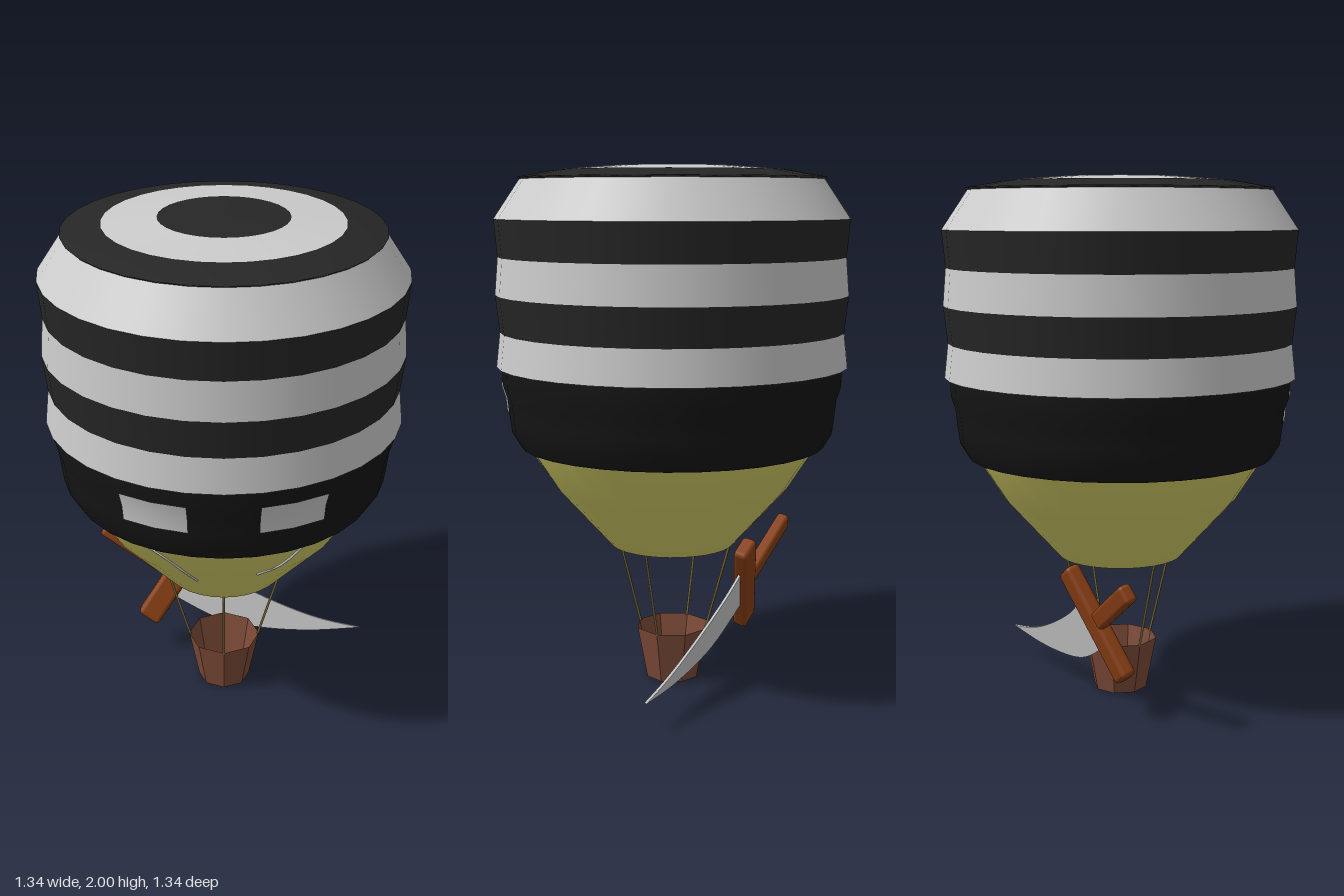
import * as THREE from 'three';
import { RoundedBoxGeometry } from 'three/addons/geometries/RoundedBoxGeometry.js';

const SIDES = 32;
const mat = (color, extra = {}) => new THREE.MeshStandardMaterial({ color, ...extra });
const both = { side: THREE.DoubleSide };
const grey = mat(0xcccccc, both);
const black = mat(0x262626, both);
const cloth = mat(0x151515, both);
const yellow = mat(0xd6d068, both);
const wicker = mat(0x7d4b38, { ...both, flatShading: true });
const rope = mat(0x7d6a3a);
const wood = mat(0x8a4015);

const v3 = (x, y, z) => new THREE.Vector3(x, y, z);

function add(parent, name, geometry, material) {
  const mesh = new THREE.Mesh(geometry, material);
  mesh.name = name;
  parent.add(mesh);
  return mesh;
}

// Profile points are [radius, height], from bottom to top
function lathe(points, start = 0, length = Math.PI * 2, sides = SIDES) {
  return new THREE.LatheGeometry(points.map(([r, y]) => new THREE.Vector2(r, y)), sides, start, length);
}

// Radius of the lower cone at height y
function coneRadius(y) {
  return y > 0.78 ? 0.45 + (y - 0.78) * 0.636 : 0.24 + (y - 0.545) * 0.894;
}

function buildEnvelope() {
  const g = new THREE.Group();
  g.name = 'envelope';
  add(g, 'lowerCone', lathe([[0.24, 0.545], [0.45, 0.78], [0.555, 0.945]]), yellow);

  // Dark wrap with the eye holes
  add(g, 'mask', lathe([[0.585, 0.945], [0.617, 1.0], [0.626, 1.07], [0.632, 1.13], [0.648, 1.18], [0.65, 1.25]]), cloth);
  add(g, 'maskUnderside', lathe([[0.55, 0.9451], [0.585, 0.945]]), cloth);
  const step = Math.PI * 2 / SIDES;
  for (const [name, start] of [['leftEye', step], ['rightEye', -3 * step]]) {
    add(g, name, lathe([[0.632, 1.07], [0.638, 1.13], [0.654, 1.185]], start, 2 * step, 2), grey);
  }

  // Stripes of the upper balloon
  const rings = [[0.67, 1.25], [0.655, 1.38], [0.67, 1.52], [0.658, 1.66], [0.67, 1.8], [0.572, 1.945]];
  for (let i = 0; i < rings.length - 1; i++) {
    add(g, 'stripe' + (i + 1), lathe([rings[i], rings[i + 1]]), i % 2 ? black : grey);
  }
  add(g, 'stripeUnderside', lathe([[0.64, 1.2501], [0.67, 1.25]]), black);

  // Target-shaped crown
  add(g, 'crownOuterRing', lathe([[0.572, 1.945], [0.58, 1.953], [0.435, 1.979]]), black);
  add(g, 'crownMiddleRing', lathe([[0.435, 1.979], [0.237, 1.995]]), grey);
  add(g, 'crownCentre', lathe([[0.237, 1.995], [0, 2]]), black);

  // Thin curved lines lying on the cone
  const lines = {
    rightWhisker: [[-0.31, 0.945], [-0.21, 0.865], [-0.145, 0.79], [-0.1, 0.72]],
    leftWhisker: [[0.3, 0.945], [0.255, 0.87], [0.2, 0.81], [0.12, 0.78]],
  };
  for (const [name, pts] of Object.entries(lines)) {
    const curve = new THREE.CatmullRomCurve3(pts.map(([x, y]) =>
      v3(x, y, Math.sqrt(coneRadius(y) ** 2 - x * x))));
    add(g, name, new THREE.TubeGeometry(curve, 16, 0.005, 6), grey);
  }
  return g;
}

function buildBasket() {
  const g = new THREE.Group();
  g.name = 'basket';
  add(g, 'basketWall', new THREE.CylinderGeometry(0.145, 0.105, 0.205, 8, 1, true).translate(0, 0.1025, 0), wicker);
  add(g, 'basketFloor', new THREE.CircleGeometry(0.105, 8).rotateX(Math.PI / 2).translate(0, 0.001, 0), wicker);
  for (let i = 0; i < 4; i++) {
    const a = i * Math.PI / 2, s = Math.sin(a), c = Math.cos(a);
    const line = new THREE.LineCurve3(v3(s * 0.14, 0.2, c * 0.14), v3(s * 0.24, 0.55, c * 0.24));
    add(g, 'rope' + (i + 1), new THREE.TubeGeometry(line, 1, 0.005, 6), rope);
  }
  return g;
}

// Curved sword leaning against the back of the basket
function buildSword() {
  const g = new THREE.Group();
  g.name = 'sword';
  const angle = -0.585;

  const guard = add(g, 'swordGuard', new RoundedBoxGeometry(0.1, 0.455, 0.06, 2, 0.018), wood);
  guard.position.set(-0.2, 0, 0);
  guard.rotation.z = angle;

  const handle = add(g, 'swordHandle', new RoundedBoxGeometry(0.36, 0.07, 0.05, 2, 0.015), wood);
  handle.position.set(-0.355, 0.105, 0);
  handle.rotation.z = angle;

  const outline = new THREE.Shape();
  outline.moveTo(-0.22, -0.09);
  outline.lineTo(-0.11, 0.07);
  outline.splineThru([[0, -0.01], [0.2, -0.112], [0.4, -0.19], [0.585, -0.233]].map(p => new THREE.Vector2(...p)));
  outline.splineThru([[0.36, -0.245], [0.14, -0.23], [-0.03, -0.19], [-0.22, -0.09]].map(p => new THREE.Vector2(...p)));
  const blade = new THREE.ExtrudeGeometry(outline, { depth: 0.01, bevelEnabled: false, curveSegments: 5 });
  add(g, 'swordBlade', blade.translate(0, 0, -0.005), grey);

  g.position.set(0, 0.347, -0.228);
  g.rotation.x = -0.263;
  g.scale.y = 1.035;
  return g;
}

export function createModel() {
  const model = new THREE.Group();
  model.name = 'hotAirBalloon';
  model.add(buildEnvelope(), buildBasket(), buildSword());
  return model;
}
